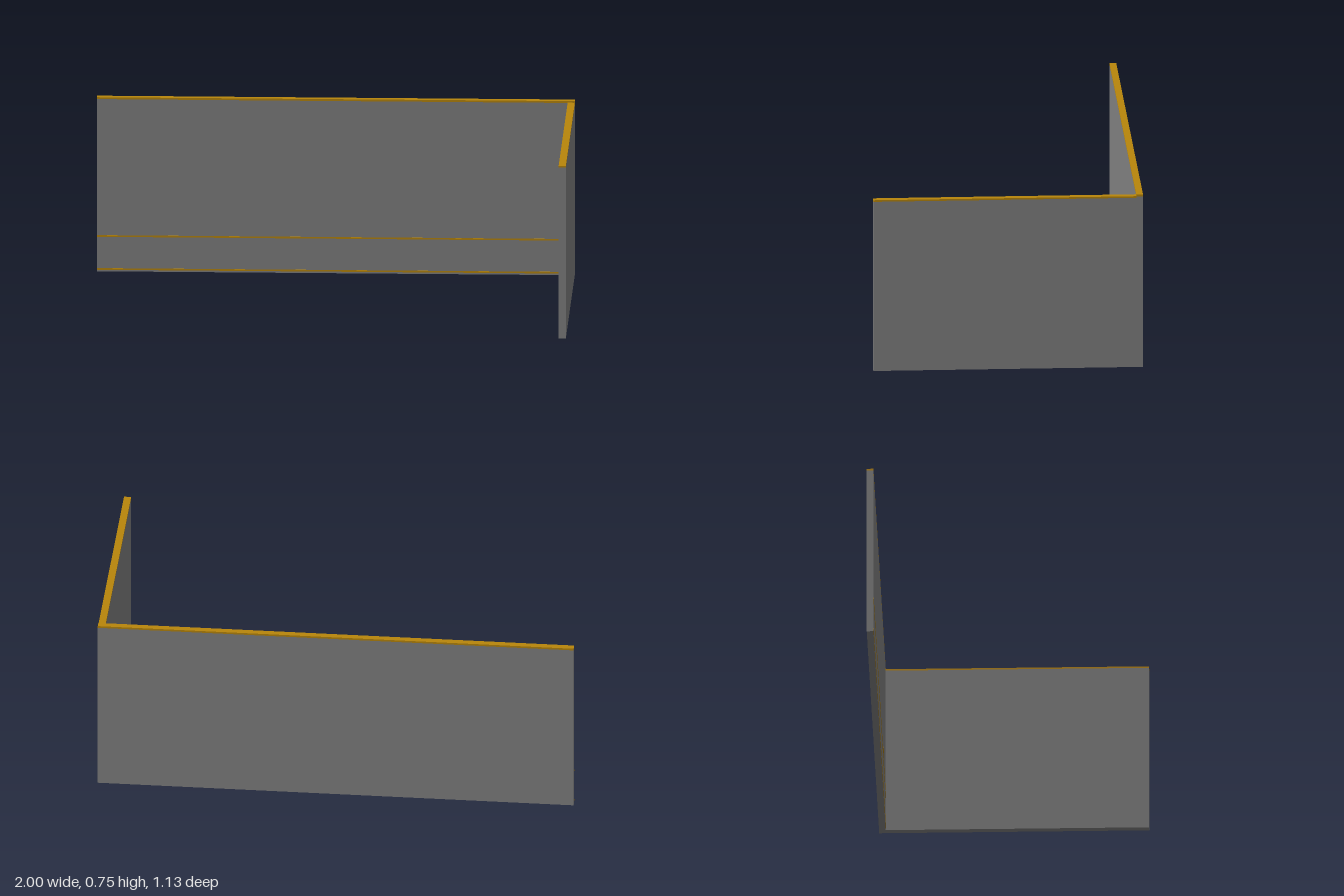
import * as THREE from 'three';

export function createModel() {
  const model = new THREE.Group();
  model.name = 'cornerWall';
  const grey = new THREE.MeshStandardMaterial({ color: 0x808080 });
  grey.name = 'wall grey';
  const gold = new THREE.MeshStandardMaterial({ color: 0xb8860b });
  gold.name = 'trim gold';

  // Box given by its minimum and maximum corners
  function slab(name, material, [x0, y0, z0], [x1, y1, z1]) {
    const mesh = new THREE.Mesh(new THREE.BoxGeometry(x1 - x0, y1 - y0, z1 - z0), material);
    mesh.position.set((x0 + x1) / 2, (y0 + y1) / 2, (z0 + z1) / 2);
    mesh.name = name;
    model.add(mesh);
  }

  const back = -0.565, inner = -0.537, front = 0.565, side = 0.97;

  // Long back wall and its cap
  slab('backWall', grey, [-1, 0, back], [1, 0.742, inner]);
  slab('backCap', gold, [-1, 0.742, back], [1, 0.75, inner]);

  // Short side wall and its slightly lower cap
  slab('sideWall', grey, [side, 0, inner], [1, 0.736, front]);
  slab('sideCap', gold, [side, 0.736, inner], [1, 0.743, front]);

  // Thin trim lines along the inner face of the back wall
  for (const [name, y] of [['lowerTrim', 0.007], ['upperTrim', 0.149]]) {
    slab(name, gold, [-1, y, inner], [side, y + 0.007, inner + 0.0015]);
  }

  // Small raised tab on the upper trim
  slab('trimTab', gold, [0.475, 0.149, inner], [0.525, 0.156, inner + 0.004]);

  return model;
}
